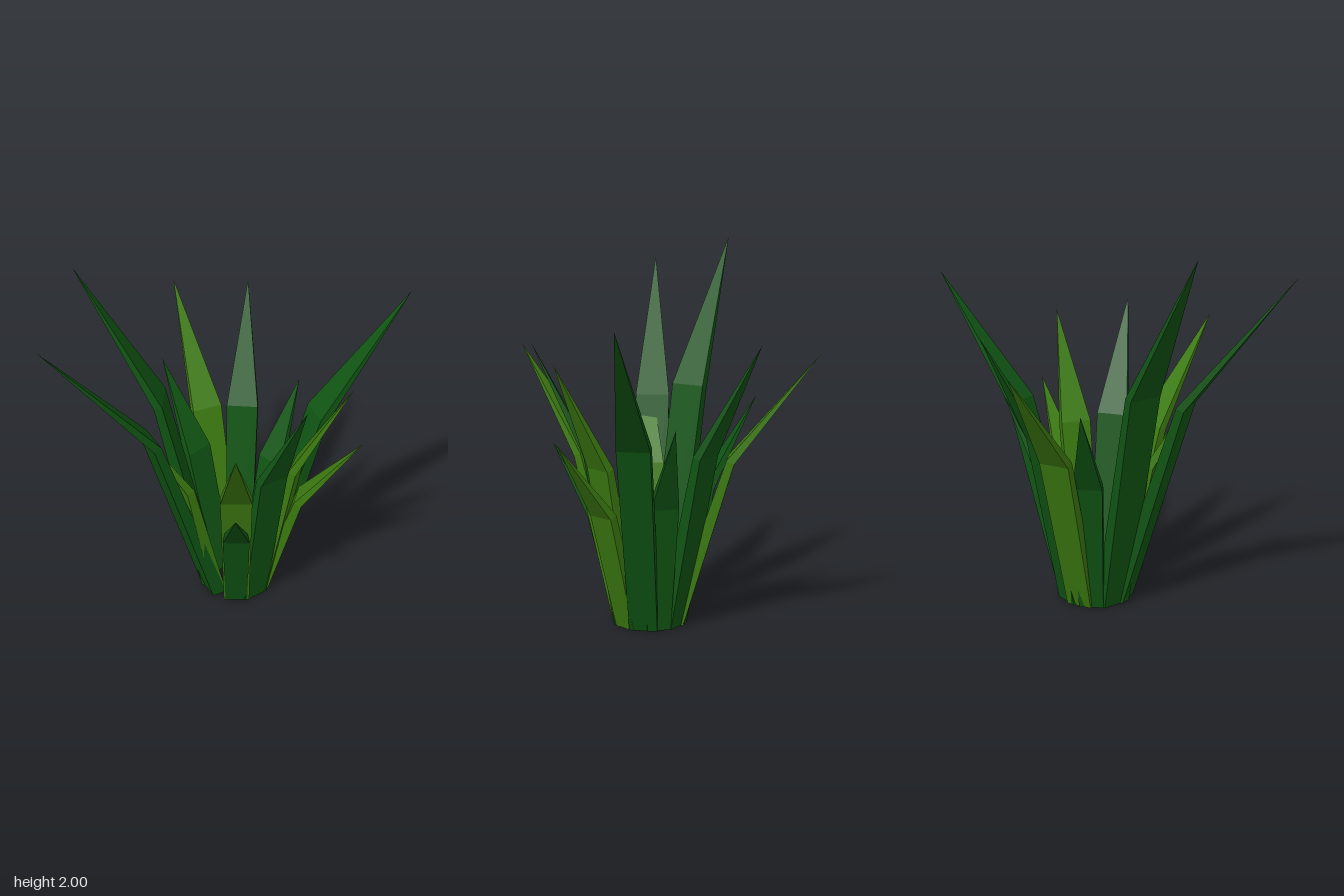
import * as THREE from 'three';

const CENTRE = new THREE.Vector3(0, 0, -0.03);

// Tapered blade: flat-bottomed base, one outward bend, pointed tip
function bladeGeometry(tip) {
  const out = tip.clone().sub(CENTRE).setY(0).normalize();
  const side = new THREE.Vector3(out.z, 0, -out.x);
  const base = CENTRE.clone().addScaledVector(out, 0.15);
  const bend = base.clone().lerp(tip, 0.38).setY(tip.y * 0.61);
  // Bend section is square to the mean growing direction
  const grow = tip.clone().sub(base).normalize();
  const outBend = new THREE.Vector3().crossVectors(side, grow).normalize();
  if (outBend.dot(out) < 0) outBend.negate();

  const width = 0.1 + 0.045 * tip.y;
  const ring = (c, o, w, t) => [[-1, 1], [1, 1], [1, -1], [-1, -1]].map(([s, d]) =>
    c.clone().addScaledVector(side, s * w / 2).addScaledVector(o, d * t / 2));
  const a = ring(base, out, width * 0.85, 0.08);
  const b = ring(bend, outBend, width, 0.045);

  const points = [];
  for (let i = 0; i < 4; i++) {
    const j = (i + 1) % 4;
    points.push(a[i], a[j], b[j], a[i], b[j], b[i], b[i], b[j], tip);
  }
  points.push(a[0], a[2], a[1], a[0], a[3], a[2]);
  return new THREE.BufferGeometry().setFromPoints(points);
}

export function createModel() {
  const group = new THREE.Group();
  group.name = 'spikyPlant';
  const dark = new THREE.MeshStandardMaterial({ color: 0x105413, flatShading: true, side: THREE.DoubleSide });
  dark.name = 'darkGreen';
  const light = new THREE.MeshStandardMaterial({ color: 0x3c7a10, flatShading: true, side: THREE.DoubleSide });
  light.name = 'lightGreen';

  // Blade tips, grouped by colour
  const tips = [
    [dark, [[-0.08, 1.54, -0.71], [0.26, 1.12, -0.44], [0.82, 1.68, -0.55], [0.44, 1.51, 0.40],
      [0.12, 0.91, 0.57], [-0.82, 1.86, 0.66], [-0.80, 2.0, 0.10], [-0.48, 1.2, -0.36]]],
    [light, [[-0.51, 1.46, -0.76], [0.67, 1.05, -0.02], [0.62, 1.44, 0.05],
      [0.16, 1.44, 0.76], [-0.45, 1.3, 0.38]]],
  ];
  for (const [material, list] of tips) {
    list.forEach((p, i) => {
      const geometry = bladeGeometry(new THREE.Vector3(...p));
      geometry.computeVertexNormals();
      const blade = new THREE.Mesh(geometry, material);
      blade.name = `${material.name}Blade${i + 1}`;
      group.add(blade);
    });
  }
  return group;
}
